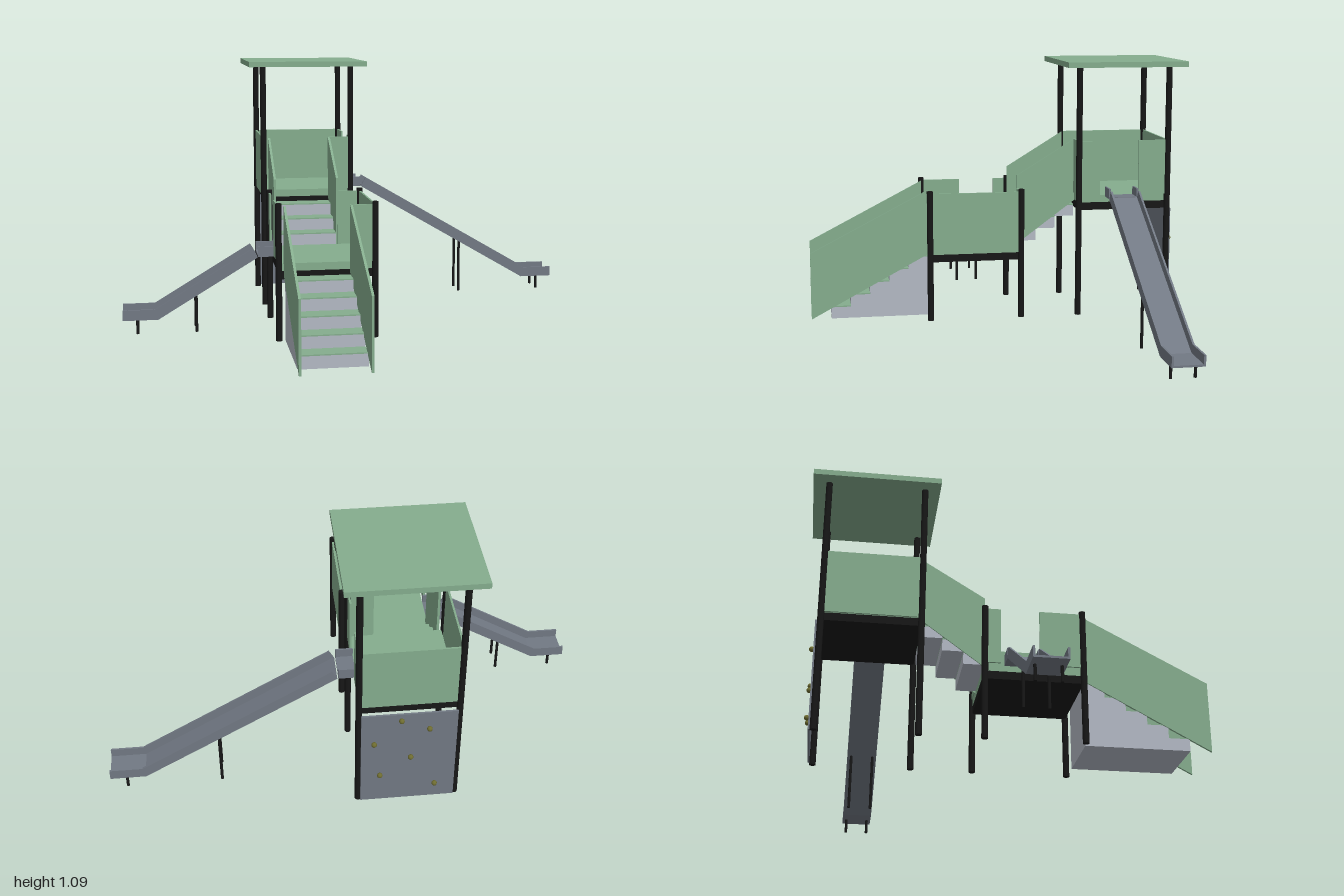
import * as THREE from 'three';

const mat = (name, color) => {
  const m = new THREE.MeshStandardMaterial({ color });
  m.name = name;
  return m;
};

export function createModel() {
  const green = mat('green panel', 0x85ad8e);
  const black = mat('black post', 0x171717);
  const slideGrey = mat('slide grey', 0x727984);
  const stepGrey = mat('light step grey', 0xb3b9c4);
  const olive = mat('olive hold', 0x6e6c30);

  const model = new THREE.Group();
  model.name = 'playground';

  const group = (name) => {
    const g = new THREE.Group();
    g.name = name;
    model.add(g);
    return g;
  };
  const add = (parent, name, geo, material) => {
    const mesh = new THREE.Mesh(geo, material);
    mesh.name = name;
    parent.add(mesh);
    return mesh;
  };
  // box given by its minimum and maximum on each axis
  const box = (parent, name, material, x0, x1, y0, y1, z0, z1) => {
    const m = add(parent, name, new THREE.BoxGeometry(x1 - x0, y1 - y0, z1 - z0), material);
    m.position.set((x0 + x1) / 2, (y0 + y1) / 2, (z0 + z1) / 2);
    return m;
  };
  const post = (parent, name, x, z, h, r) => {
    const m = add(parent, name, new THREE.CylinderGeometry(r, r, h, 16), black);
    m.position.set(x, h / 2, z);
  };

  const XL = -0.378, XR = 0.013; // post lines
  const T = 0.004;               // half thickness of a panel
  const SL = -0.353, SR = -0.085; // stair rails

  // platform: posts, black frame and green deck
  const platform = (name, zBack, zFront, deck, postHeight) => {
    const g = group(name);
    for (const x of [XL, XR]) for (const z of [zBack, zFront]) post(g, 'post', x, z, postHeight, 0.013);
    box(g, 'deckFrame', black, XL + 0.01, XR - 0.006, deck - 0.064, deck - 0.031, zBack, zFront);
    box(g, 'deck', green, XL + 0.01, XR - 0.006, deck - 0.031, deck, zBack, zFront);
    return g;
  };
  const sidePanel = (g, x, z0, z1, y0, y1) => box(g, 'sidePanel', green, x - T, x + T, y0, y1, z0, z1);
  const crossPanel = (g, z, x0, x1, y0, y1) => box(g, 'crossPanel', green, x0, x1, y0, y1, z - T, z + T);

  // low platform
  const low = platform('lowPlatform', -0.092, 0.298, 0.315, 0.557);
  sidePanel(low, XR, -0.085, 0.29, 0.285, 0.546);
  sidePanel(low, XL, -0.085, -0.03, 0.315, 0.546);
  sidePanel(low, XL, 0.125, 0.29, 0.315, 0.546);
  for (const z of [-0.092, 0.298]) crossPanel(low, z, SR, XR, 0.315, 0.546);

  // tower
  const tower = platform('tower', -0.732, -0.342, 0.522, 1.075);
  sidePanel(tower, XL, -0.725, -0.348, 0.49, 0.756);
  sidePanel(tower, XR, -0.433, -0.348, 0.522, 0.756);
  sidePanel(tower, XR, -0.725, -0.603, 0.522, 0.756);
  crossPanel(tower, -0.732, XL, XR, 0.49, 0.756);
  crossPanel(tower, -0.342, SR, XR, 0.522, 0.756);
  box(tower, 'roof', green, -0.443, 0.077, 1.071, 1.094, -0.797, -0.28);

  // climbing wall with holds
  const wall = group('climbingWall');
  box(wall, 'wallBoard', slideGrey, -0.37, 0.005, 0.005, 0.456, -0.752, -0.744);
  for (const [x, y] of [[-0.15, 0.43], [-0.26, 0.38], [-0.045, 0.315], [-0.19, 0.235], [-0.07, 0.145], [-0.29, 0.08]]) {
    add(wall, 'hold', new THREE.SphereGeometry(0.011, 12, 8), olive).position.set(x, y, -0.76);
  }

  // stairs: grey step blocks, thin green treads and a rail plate on each side
  const stairs = (name, count, zTop, yTop, solid, rail) => {
    const g = group(name);
    const depth = 0.083, rise = 0.052;
    for (let i = 0; i < count; i++) {
      const y = yTop - i * rise, z = zTop + i * depth;
      box(g, 'step', stepGrey, SL, SR, solid ? 0 : y - rise, y - 0.005, z, z + depth);
      box(g, 'tread', green, SL, SR, y - 0.005, y, z, z + depth);
    }
    // rail outline in (z, y), turned to lie along z
    const shape = new THREE.Shape(rail.map(([z, y]) => new THREE.Vector2(-z, y)));
    for (const x of [SL, SR]) {
      const m = add(g, 'rail', new THREE.ExtrudeGeometry(shape, { depth: 0.01, bevelEnabled: false }), green);
      m.rotation.y = Math.PI / 2;
      m.position.x = x - 0.005;
    }
  };
  stairs('lowerStairs', 5, 0.3, 0.262, true, [[0.8, 0], [0.8, 0.287], [0.3, 0.546], [0.3, 0.268]]);
  stairs('upperStairs', 3, -0.34, 0.47, false, [[-0.09, 0.302], [-0.09, 0.602], [-0.342, 0.756], [-0.342, 0.488]]);

  // slide: three straight trough sections, each from bottom point a to b
  const slide = (name, z, turn, flat, incline, legs) => {
    const g = group(name);
    g.position.z = z;
    g.rotation.y = turn;
    const section = (part, [ax, ay], [bx, by]) => {
      const s = new THREE.Group();
      s.name = part;
      s.position.set(ax, ay, 0);
      s.rotation.z = Math.atan2(by - ay, bx - ax);
      g.add(s);
      const len = Math.hypot(bx - ax, by - ay);
      box(s, 'bed', slideGrey, 0, len, 0, 0.008, -0.062, 0.062);
      for (const side of [-1, 1]) {
        box(s, 'sideWall', slideGrey, 0, len, 0, 0.043, side * 0.06 - 0.004, side * 0.06 + 0.004);
      }
    };
    section('entry', [flat[0], flat[2]], [flat[1], flat[2]]);
    section('chute', incline, [0.856, 0.06]);
    section('runOut', [0.856, 0.06], [1, 0.06]);
    for (const [x, h] of legs) for (const lz of [-0.047, 0.047]) post(g, 'slideLeg', x, lz, h, 0.006);
  };
  slide('tallSlide', -0.523, 0, [0.007, 0.076, 0.514], [0.08, 0.514], [[0.553, 0.24], [0.935, 0.062]]);
  slide('shortSlide', 0.05, Math.PI, [0.368, 0.445, 0.308], [0.446, 0.306], [[0.7, 0.155], [0.94, 0.062]]);

  return model;
}
